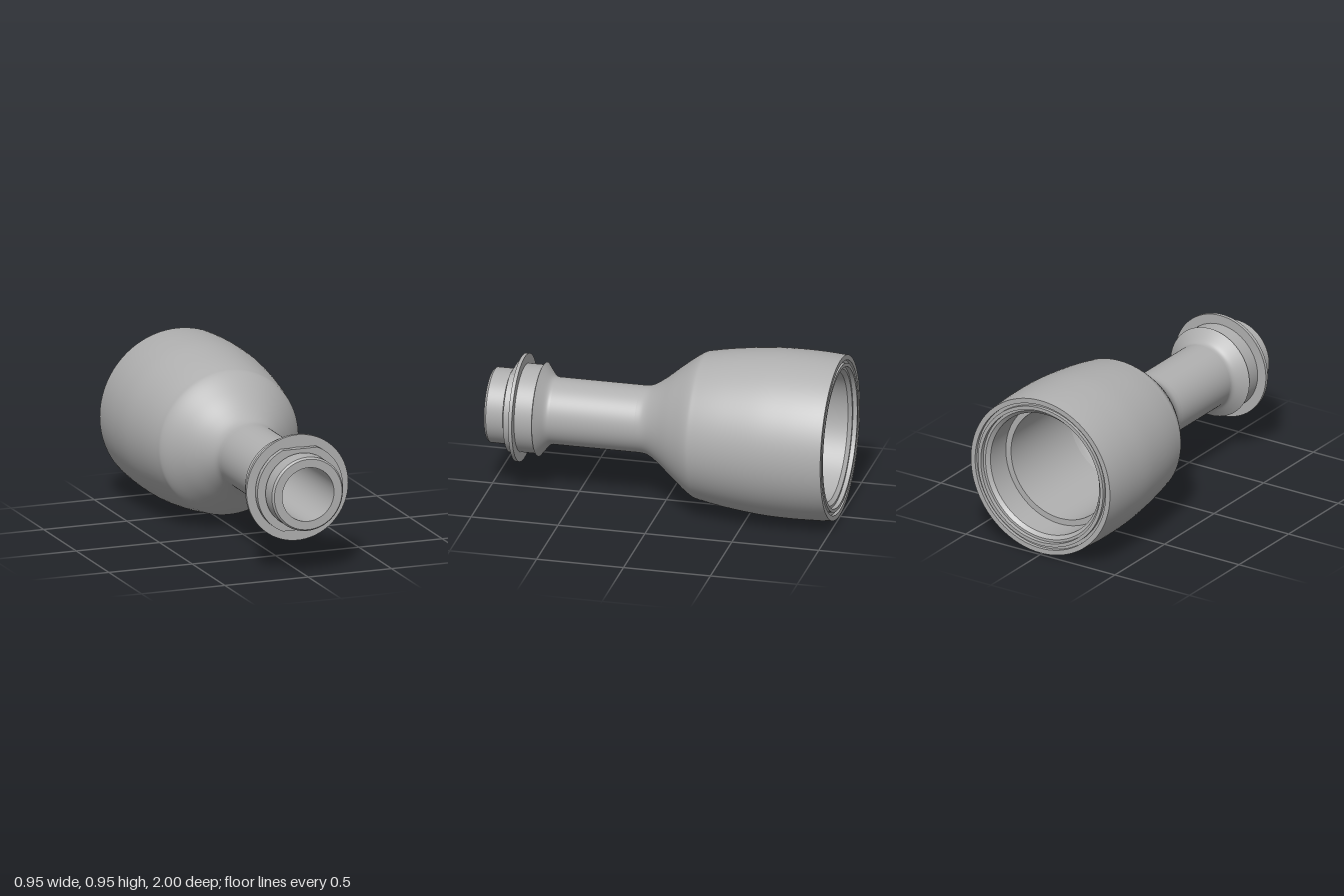
import * as THREE from 'three';

const AXIS_Y = 0.478;
const SEGMENTS = 96;

export function createModel() {
  const model = new THREE.Group();
  const grey = new THREE.MeshStandardMaterial({ color: 0xb0b0b0 });
  grey.name = 'plainGrey';

  function add(name, geometry) {
    const mesh = new THREE.Mesh(geometry, grey);
    mesh.name = name;
    mesh.position.y = AXIS_Y;
    model.add(mesh);
  }

  // Revolve [radius, z] points about the z axis
  function revolve(name, points) {
    const g = new THREE.LatheGeometry(points.map(([r, z]) => new THREE.Vector2(r, z)), SEGMENTS);
    add(name, g.rotateX(Math.PI / 2));
  }

  // Smooth curved run through the points
  function curved(name, points, divisions) {
    const curve = new THREE.SplineCurve(points.map(([r, z]) => new THREE.Vector2(r, z)));
    revolve(name, curve.getPoints(divisions).map(p => [p.x, p.y]));
  }

  // Hard-edged run: every straight stretch is its own surface
  function stepped(name, points) {
    for (let i = 0; i < points.length - 1; i++) revolve(name + (i + 1), [points[i], points[i + 1]]);
  }

  // Bell, shoulder and neck outside
  curved('bellShell', [
    [0.467, -1], [0.474, -0.9], [0.477, -0.77], [0.472, -0.6], [0.45, -0.4], [0.424, -0.25],
    [0.405, -0.19], [0.33, -0.09], [0.255, 0], [0.212, 0.06], [0.194, 0.1], [0.19, 0.14],
  ], 66);
  revolve('neck', [[0.19, 0.14], [0.19, 0.63]]);
  curved('neckFlare', [[0.19, 0.63], [0.193, 0.645], [0.205, 0.662], [0.235, 0.687], [0.265, 0.71]], 16);

  // Collar, flange and narrow groove in front of it
  stepped('collar', [
    [0.265, 0.71], [0.25, 0.715], [0.25, 0.815], [0.305, 0.815], [0.305, 0.835],
    [0.234, 0.835], [0.234, 0.846],
  ]);

  // Locking plate: a disc with flat top and bottom
  const R = 0.256, FLAT = 0.234, a = Math.asin(FLAT / R);
  const outline = new THREE.Shape();
  outline.absarc(0, 0, R, -a, a, false);
  outline.absarc(0, 0, R, Math.PI - a, Math.PI + a, false);
  outline.closePath();
  const hole = new THREE.Path();
  hole.absarc(0, 0, 0.19, 0, Math.PI * 2, true);
  outline.holes.push(hole);
  const plate = new THREE.ExtrudeGeometry(outline, { depth: 0.032, bevelEnabled: false, curveSegments: 48 });
  add('lockingPlate', plate.translate(0, 0, 0.845));

  // Spigot with groove, chamfer, end face and bore
  stepped('spigot', [
    [0.204, 0.87], [0.204, 0.89], [0.213, 0.89], [0.213, 0.987], [0.203, 1], [0.155, 1], [0.155, 0.1],
  ]);

  // Inner throat widening into the bell
  curved('innerThroat', [
    [0.155, 0.1], [0.162, 0.06], [0.2, 0], [0.265, -0.09], [0.315, -0.16], [0.33, -0.21],
  ], 24);

  // Main chamber, ledge, wider mouth and stepped rim
  stepped('chamber', [
    [0.33, -0.21], [0.33, -0.8], [0.365, -0.8], [0.365, -0.955], [0.385, -0.975], [0.4, -0.975],
    [0.4, -1], [0.42, -1], [0.42, -0.98], [0.438, -0.98], [0.438, -1], [0.467, -1],
  ]);

  return model;
}
